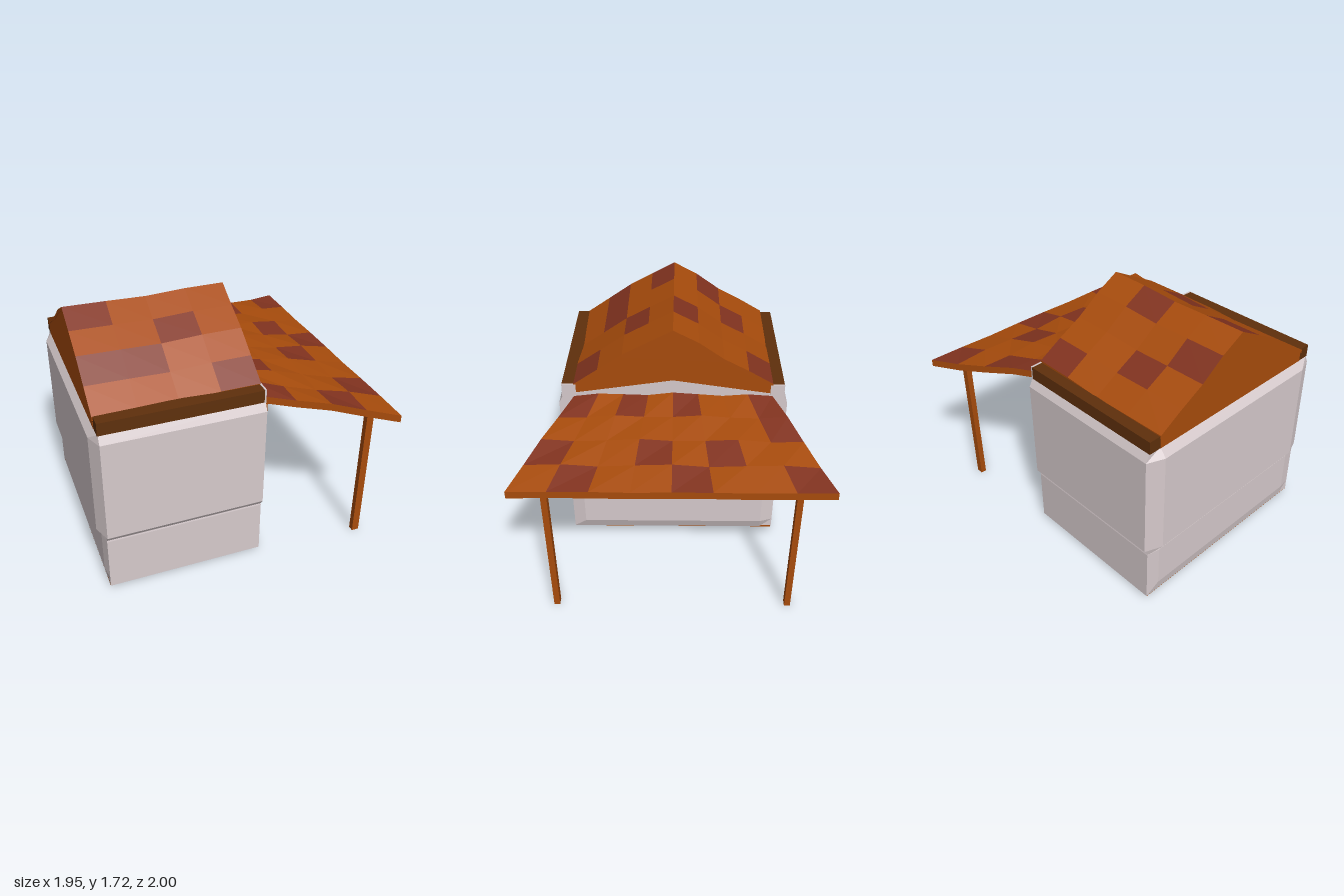
import * as THREE from 'three';

const mat = (color) => new THREE.MeshStandardMaterial({ color, flatShading: true });
const WALL = mat(0xd6cacc), ORANGE = mat(0xa84c0c), RED = mat(0x82331f);
const DARK = mat(0x5f300c), TAN = mat(0xd8ac88), SHELF = mat(0x662c10);

export function createModel() {
  const model = new THREE.Group();

  const add = (name, geometry, material) => {
    const mesh = new THREE.Mesh(geometry, material);
    mesh.name = name;
    model.add(mesh);
    return mesh;
  };
  // Box given by its two opposite corners
  const box = (name, material, x0, x1, y0, y1, z0, z1) => {
    const mesh = add(name, new THREE.BoxGeometry(x1 - x0, y1 - y0, z1 - z0), material);
    mesh.position.set((x0 + x1) / 2, (y0 + y1) / 2, (z0 + z1) / 2);
    return mesh;
  };
  const quad = (out, a, b, c, d) => out.push(...a, ...b, ...c, ...a, ...c, ...d);
  const fromTriangles = (positions) => {
    const g = new THREE.BufferGeometry();
    g.setAttribute('position', new THREE.Float32BufferAttribute(positions, 3));
    g.computeVertexNormals();
    return g;
  };
  // Skin between horizontal rings
  const loft = (rings, closed) => {
    const out = [], n = rings[0].length;
    for (let r = 0; r < rings.length - 1; r++) {
      for (let i = 0; i < (closed ? n : n - 1); i++) {
        const j = (i + 1) % n;
        quad(out, rings[r][i], rings[r][j], rings[r + 1][j], rings[r + 1][i]);
      }
    }
    return fromTriangles(out);
  };
  // Plate drawn in [z, y], extruded along x
  const plate = (points, x0, x1, hole) => {
    const toVec = ([z, y]) => new THREE.Vector2(-z, y);
    const shape = new THREE.Shape(points.map(toVec));
    if (hole) shape.holes.push(new THREE.Path(hole.map(toVec)));
    const g = new THREE.ExtrudeGeometry(shape, { depth: x1 - x0, bevelEnabled: false });
    return g.rotateY(Math.PI / 2).translate(x0, 0, 0);
  };
  // Thick sheet of 4 x 8 tiles; cells listed in reds get the second colour
  const tiledSheet = (name, point, thickness, reds) => {
    const plain = [], red = [], cols = 4, rows = 8;
    const low = (i, j) => { const p = point(i, j); return [p[0], p[1] - thickness, p[2]]; };
    for (let i = 0; i < cols; i++) {
      for (let j = 0; j < rows; j++) {
        const out = reds.includes(i * 10 + j) ? red : plain;
        quad(out, point(i, j), point(i, j + 1), point(i + 1, j + 1), point(i + 1, j));
        quad(plain, low(i, j), low(i + 1, j), low(i + 1, j + 1), low(i, j + 1));
      }
    }
    const edge = (a, b) => quad(plain, low(...a), low(...b), point(...b), point(...a));
    for (let i = 0; i < cols; i++) {
      edge([i, rows], [i + 1, rows]);
      edge([i + 1, 0], [i, 0]);
    }
    for (let j = 0; j < rows; j++) {
      edge([cols, j + 1], [cols, j]);
      edge([0, j], [0, j + 1]);
    }
    add(name, fromTriangles(plain), ORANGE);
    add(name + 'RedTiles', fromTriangles(red), RED);
  };

  // Lower body with bulging front and back
  const lowerRing = ([y, back, front, z]) => [
    [-0.93, y, z], [0.135, y, z], [front, y, 0.66], [front, y, -0.66],
    [0.135, y, -z], [-0.93, y, -z], [back, y, -0.66], [back, y, 0.66]];
  add('lowerBody', loft([
    [0.02, -0.93, 0.135, 0.75], [0.1, -0.945, 0.165, 0.75],
    [0.4, -0.945, 0.165, 0.75], [0.45, -0.93, 0.135, 0.74]].map(lowerRing), true), WALL);
  box('underside', ORANGE, -0.93, 0.135, 0.018, 0.03, -0.745, 0.745);

  // Upper walls, open towards the counter
  const upperRing = ([y, back, z]) => [
    [0.135, y, -z], [-0.93, y, -z], [back, y, -0.66],
    [back, y, 0.66], [-0.93, y, z], [0.135, y, z]];
  add('upperWalls', loft([
    [0.4, -0.93, 0.74], [0.45, -0.975, 0.775],
    [1.16, -0.975, 0.775], [1.22, -0.93, 0.745]].map(upperRing), false), WALL);

  // Counter wall with its flared opening
  add('openingFrame', plate([
    [0.74, 0.4], [0.775, 0.45], [0.775, 1.16], [0.745, 1.22], [0.66, 1.24], [0, 1.34],
    [-0.66, 1.24], [-0.745, 1.22], [-0.775, 1.16], [-0.775, 0.45], [-0.74, 0.4]],
  0.065, 0.135, [[0.575, 0.45], [0.668, 1.14], [-0.668, 1.14], [-0.575, 0.45]]), WALL);

  // Interior lining and furniture
  box('backLining', TAN, -0.47, -0.45, 0.43, 1.24, -0.72, 0.72);
  box('ceiling', TAN, -0.45, 0.065, 1.2, 1.22, -0.72, 0.72);
  box('floor', SHELF, -0.45, 0.065, 0.42, 0.448, -0.72, 0.72);
  for (const s of [-1, 1]) {
    box('sideLining', TAN, -0.45, 0.065, 0.43, 1.2, s * 0.71 - 0.01, s * 0.71 + 0.01);
  }
  box('upperShelf', SHELF, -0.45, -0.12, 0.86, 0.91, -0.125, 0.7);
  box('lowerShelf', SHELF, -0.45, -0.12, 0.65, 0.7, -0.13, 0.7);
  const cabinet = box('cabinet', ORANGE, -0.44, -0.15, 0.44, 0.8, -0.66, -0.24);
  cabinet.rotation.y = -0.12;

  // Beams on the side walls, with wall caps at the open end
  for (const s of [-1, 1]) {
    const z0 = s > 0 ? 0.655 : -0.75, z1 = z0 + 0.095;
    box('eaveBeam', DARK, -0.935, 0.125, 1.215, 1.302, z0, z1);
    box('beamCap', WALL, 0.125, 0.137, 1.21, 1.305, z0, z1);
  }

  // Gabled roof
  const roofY = [1.31, 1.41, 1.5, 1.62, 1.71, 1.62, 1.53, 1.415, 1.3];
  const ridgeWave = [0, -0.004, -0.01, 0.004, 0.006];
  const roofX = [-0.942, -0.66, -0.4, -0.13, 0.137];
  tiledSheet('roof', (i, j) => [
    roofX[i] - (j === 4 || i === 0 ? 0 : 0.003), roofY[j] + ridgeWave[i], (j - 4) * 0.1675],
  0.025, [11, 30, 2, 23, 4, 25, 6, 16, 37]);
  const slope = roofY.map((y, j) => [(j - 4) * 0.166, y - 0.015]);
  add('frontGable', plate([...slope, [0.664, 1.24], [0, 1.34], [-0.664, 1.24]], -0.9, 0.134), ORANGE);
  add('backGable', plate([...slope, [0.664, 1.215], [-0.664, 1.215]], -0.937, -0.9), ORANGE);

  // Flared awning, gently uneven
  tiledSheet('awning', (i, j) => {
    const u = i / 4, wave = Math.sin(j * 2.1 + i * 1.7) * 0.01 * (i < 4 ? 1 : 0.3);
    const crown = 0.015 * (1 - Math.abs(j - 4) / 4);
    return [0.137 + 0.835 * u, 1.222 - 0.142 * u + crown * (1 - u) + wave,
      (j - 4) / 4 * (0.67 + 0.33 * u)];
  }, 0.05, [0, 10, 30, 3, 5, 7, 22, 24, 27, 33, 36]);

  // Awning posts
  for (const s of [-1, 1]) {
    box('post', ORANGE, 0.85, 0.9, 0, 1.05, s * 0.79 - 0.02, s * 0.79 + 0.02);
  }
  return model;
}
